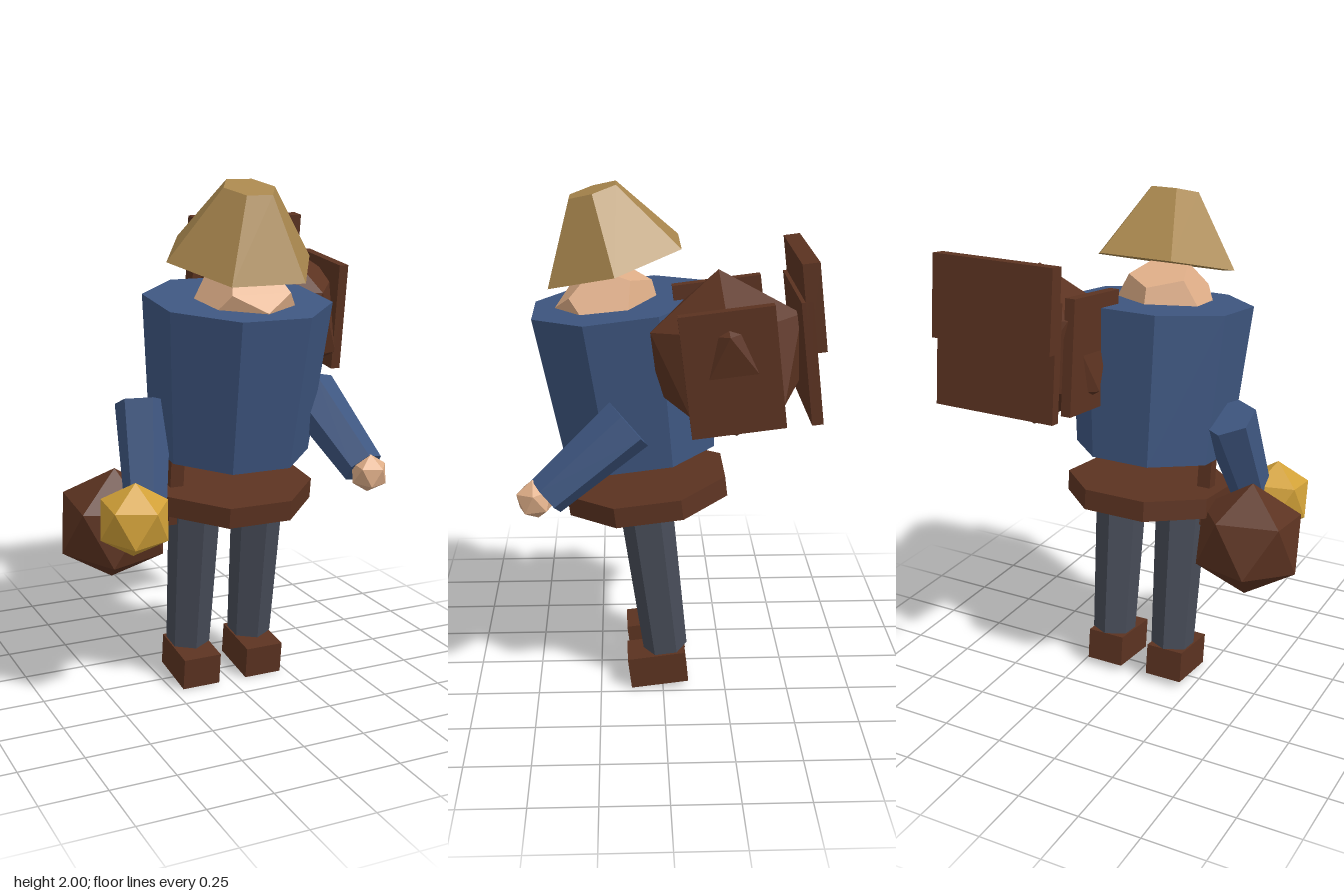
import * as THREE from 'three';

const LEAN = 0.122; // the whole figure leans forward

function paint(name, color) {
  const m = new THREE.MeshStandardMaterial({ color, flatShading: true });
  m.name = name;
  return m;
}

export function createModel() {
  const cloth = paint('blueCloth', 0x3e5680);
  const leather = paint('brownLeather', 0x5c3321);
  const straw = paint('straw', 0xa8864d);
  const skin = paint('skin', 0xdfae88);
  const gold = paint('gold', 0xd2a138);
  const trousers = paint('greyTrousers', 0x474c58);

  const model = new THREE.Group();
  model.name = 'traveller';

  const add = (name, geometry, material, x, y, z, lean = LEAN) => {
    const mesh = new THREE.Mesh(geometry, material);
    mesh.name = name;
    mesh.position.set(x, y, z);
    mesh.rotation.x = lean;
    model.add(mesh);
    return mesh;
  };
  const box = (w, h, d) => new THREE.BoxGeometry(w, h, d);
  const prism = (top, bottom, h, sides, turn = 0) =>
    new THREE.CylinderGeometry(top, bottom, h, sides, 1, false, turn);
  // twenty-sided ball standing on a corner
  const ball = (name, r, material, x, y, z) =>
    add(name, new THREE.IcosahedronGeometry(r).rotateZ(-0.5536), material, x, y, z);

  // legs and feet
  for (const [side, x] of [['left', 0.145], ['right', -0.13]]) {
    add(side + 'Foot', box(0.157, 0.129, 0.23), leather, x, 0.078, 0.02);
    add(side + 'Leg', prism(0.104, 0.088, 0.64, 6), trousers, x, 0.47, 0.028);
  }

  // belt and torso, flat sides facing front
  add('belt', prism(0.335, 0.335, 0.08, 8, Math.PI / 8), leather, 0.01, 0.807, 0.058);
  add('torso', prism(0.36, 0.31, 0.593, 8, Math.PI / 8), cloth, 0.01, 1.268, 0.12);

  // head and hat
  add('head', new THREE.DodecahedronGeometry(0.205), skin, 0.017, 1.516, 0.2, 0.28);
  add('hat', prism(0.104, 0.295, 0.277, 6, Math.PI / 6), straw, 0.008, 1.843, 0.215, 0.287);

  // arms taper from shoulder to wrist
  const arm = (name, from, to) => {
    const a = new THREE.Vector3(...from), b = new THREE.Vector3(...to);
    const mesh = add(name, prism(0.108, 0.08, a.distanceTo(b), 6), cloth, 0, 0, 0);
    mesh.position.lerpVectors(a, b, 0.5);
    mesh.quaternion.setFromUnitVectors(new THREE.Vector3(0, 1, 0), a.sub(b).normalize());
  };
  arm('leftArm', [0.335, 1.175, 0.13], [0.41, 0.925, 0.435]);
  arm('rightArm', [-0.335, 1.17, 0.045], [-0.385, 0.8, 0.19]);
  ball('leftHand', 0.075, skin, 0.41, 0.915, 0.475);
  ball('rightHand', 0.075, skin, -0.4, 0.77, 0.22);

  // lantern, hip bag and its strap
  ball('lantern', 0.147, gold, -0.457, 0.78, 0.258);
  ball('hipBag', 0.228, leather, -0.45, 0.695, 0.005);
  add('bagStrap', box(0.055, 0.27, 0.05), leather, -0.225, 0.82, 0.085);

  // shoulder pack with side panels and back boards
  const packX = 0.348;
  ball('pack', 0.313, leather, packX, 1.44, -0.228);
  for (const s of [-1, 1]) {
    add(s > 0 ? 'leftPackPanel' : 'rightPackPanel', box(0.04, 0.437, 0.33), leather,
      packX + s * 0.232, 1.445, -0.225);
  }
  add('lowerBackBoard', box(0.505, 0.437, 0.04), leather, packX, 1.475, -0.495);
  add('upperBackBoard', box(0.505, 0.31, 0.06), leather, packX, 1.67, -0.495);

  return model;
}
